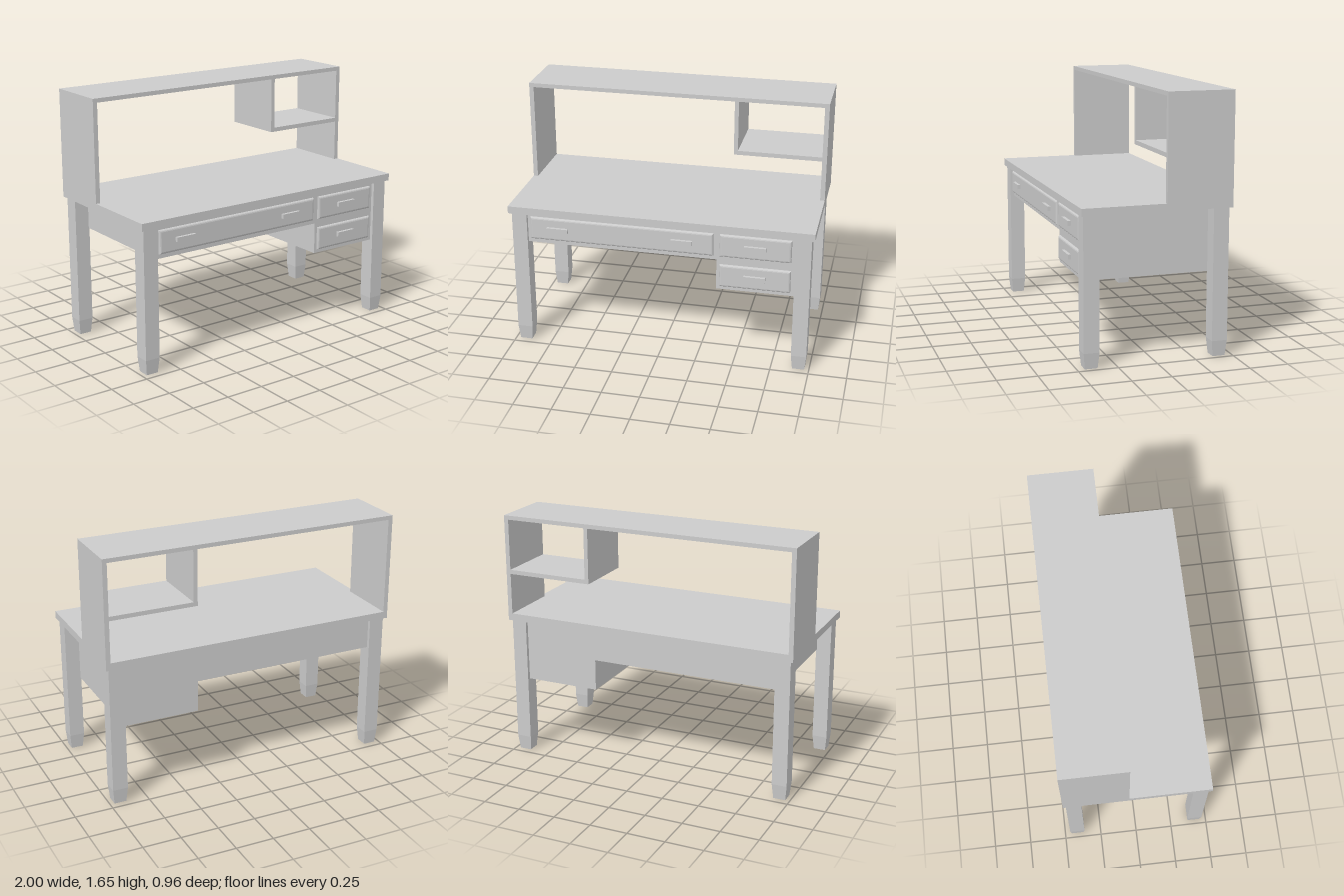
import * as THREE from 'three';

const material = new THREE.MeshStandardMaterial({ color: 0xcccccc, flatShading: true });

export function createModel() {
  const desk = new THREE.Group();
  desk.name = 'desk';

  const add = (name, geometry) => {
    const mesh = new THREE.Mesh(geometry, material);
    mesh.name = name;
    desk.add(mesh);
    return mesh;
  };

  // Box given by its extents on each axis
  const box = (name, [x0, x1], [y0, y1], [z0, z1]) =>
    add(name, new THREE.BoxGeometry(x1 - x0, y1 - y0, z1 - z0))
      .position.set((x0 + x1) / 2, (y0 + y1) / 2, (z0 + z1) / 2);

  // Square leg with a tapered foot
  const legGeometry = () => {
    const g = new THREE.BoxGeometry(0.1, 0.94, 0.1, 1, 2, 1);
    g.translate(0, 0.47, 0);
    const p = g.attributes.position;
    for (let i = 0; i < p.count; i++) {
      const y = p.getY(i);
      if (y < 0.01) p.setXYZ(i, p.getX(i) * 0.8, 0, p.getZ(i) * 0.8);
      else if (y < 0.9) p.setY(i, 0.1);
    }
    g.computeVertexNormals();
    return g;
  };

  // Drawer front: raised panel with a rounded bevel
  const drawer = (name, [x0, x1], [y0, y1]) => {
    const b = 0.014;
    const shape = new THREE.Shape();
    shape.moveTo(x0 + b, y0 + b);
    shape.lineTo(x1 - b, y0 + b);
    shape.lineTo(x1 - b, y1 - b);
    shape.lineTo(x0 + b, y1 - b);
    shape.closePath();
    add(name, new THREE.ExtrudeGeometry(shape, {
      depth: 0.008, bevelThickness: 0.014, bevelSize: b, bevelSegments: 3,
    })).position.z = 0.434;
  };

  const handle = (x, y) =>
    box('drawerHandle', [x - 0.07, x + 0.07], [y - 0.015, y + 0.015], [0.45, 0.476]);

  // Table top and legs
  box('tableTop', [-1, 1], [0.94, 0.988], [-0.48, 0.48]);
  for (const sx of [-1, 1]) {
    for (const sz of [-1, 1]) {
      add(sz > 0 ? 'frontLeg' : 'backLeg', legGeometry()).position.set(sx * 0.93, 0, sz * 0.413);
    }
  }

  // Drawer case: stepped outline, deeper on one side
  const outline = new THREE.Shape();
  outline.moveTo(-0.885, 0.94);
  outline.lineTo(-0.885, 0.733);
  outline.lineTo(0.375, 0.733);
  outline.lineTo(0.375, 0.525);
  outline.lineTo(0.885, 0.525);
  outline.lineTo(0.885, 0.94);
  outline.closePath();
  add('drawerCase', new THREE.ExtrudeGeometry(outline, { depth: 0.88, bevelEnabled: false }))
    .position.z = -0.44;

  // Drawers and handles
  drawer('wideDrawer', [-0.86, 0.355], [0.76, 0.915]);
  drawer('upperDrawer', [0.395, 0.855], [0.76, 0.915]);
  drawer('lowerDrawer', [0.395, 0.855], [0.548, 0.703]);
  handle(-0.675, 0.84);
  handle(0.15, 0.84);
  handle(0.625, 0.84);
  handle(0.625, 0.63);

  // Open hutch with a corner cubby
  const depth = [-0.48, -0.055];
  for (const s of [-1, 1]) {
    box('hutchSide', [s * 0.985 - 0.015, s * 0.985 + 0.015], [0.988, 1.628], depth);
  }
  box('hutchTop', [-1, 1], [1.628, 1.655], depth);
  box('cubbyDivider', [0.39, 0.417], [1.29, 1.628], depth);
  box('cubbyShelf', [0.39, 0.97], [1.262, 1.29], depth);

  return desk;
}
